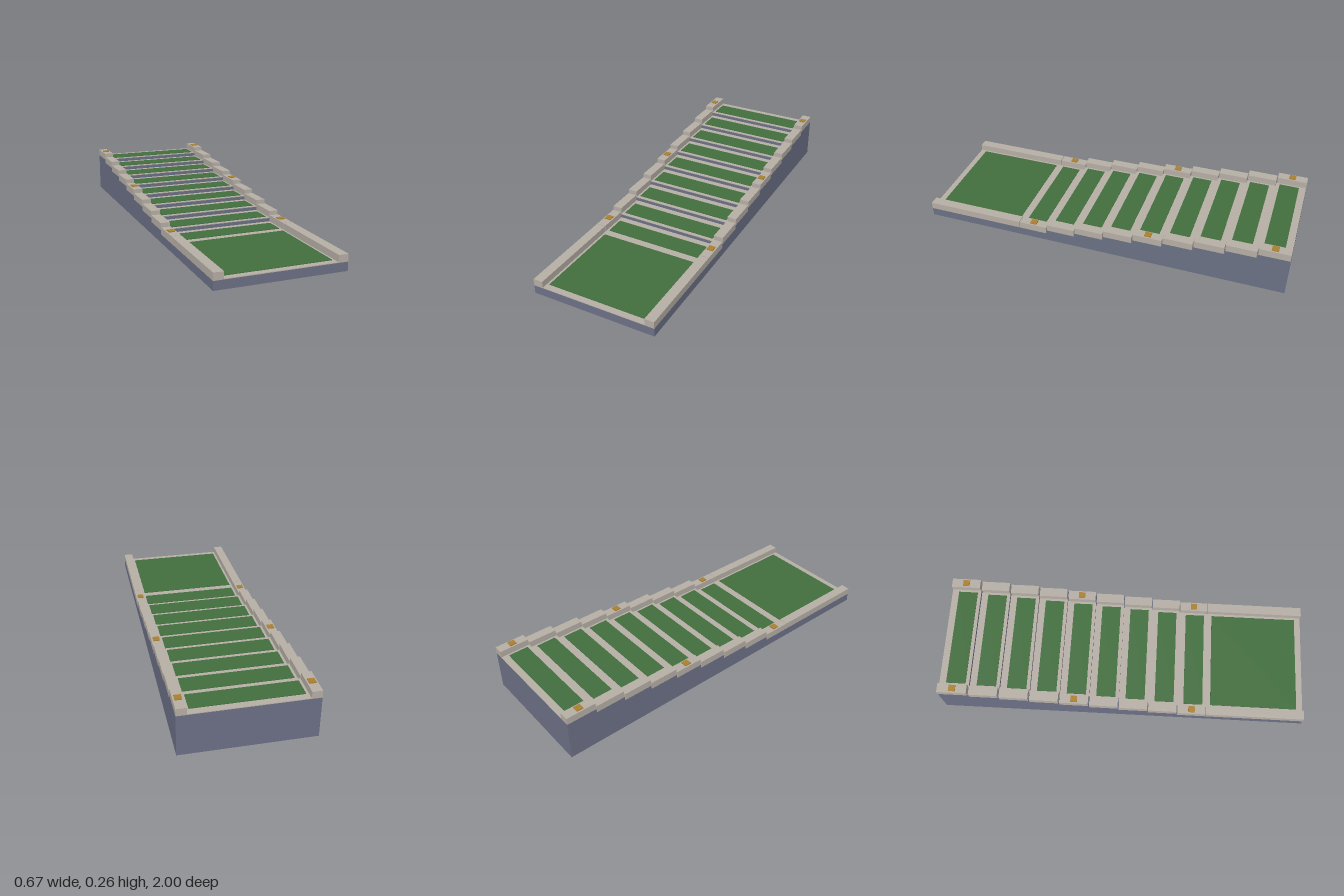
import * as THREE from 'three';

const STEPS = 9, RISE = 0.0214, PITCH = 1.46 / STEPS;
const WIDTH = 0.67, INNER = 0.568, BASE = 0.0455, LANDING_Z = 0.46;

export function createModel() {
  const mat = (name, color) => {
    const m = new THREE.MeshStandardMaterial({ color });
    m.name = name;
    return m;
  };
  const slate = mat('slate stone', 0x6b7085);
  const pale = mat('pale stone', 0xb5aea5);
  const green = mat('green carpet', 0x426e3e);
  const gold = mat('gold', 0xaa8030);

  const model = new THREE.Group();
  model.name = 'stairway';

  // box given by its x centre, bottom y and z range
  const box = (name, material, w, h, x, y, z0, z1, parent) => {
    const mesh = new THREE.Mesh(new THREE.BoxGeometry(w, h, z1 - z0), material);
    mesh.name = name;
    mesh.position.set(x, y + h / 2, (z0 + z1) / 2);
    parent.add(mesh);
  };

  // stepped base: side profile in (z, y) extruded across the width
  const profile = new THREE.Shape();
  profile.moveTo(-1, 0);
  profile.lineTo(1, 0);
  profile.lineTo(1, BASE);
  for (let i = 1; i < STEPS; i++) {
    const z = LANDING_Z - i * PITCH;
    profile.lineTo(z, BASE + (i - 1) * RISE);
    profile.lineTo(z, BASE + i * RISE);
  }
  profile.lineTo(-1, BASE + (STEPS - 1) * RISE);
  profile.closePath();
  const baseGeo = new THREE.ExtrudeGeometry(profile, { depth: WIDTH, bevelEnabled: false });
  baseGeo.rotateY(-Math.PI / 2).translate(WIDTH / 2, 0, 0);
  const base = new THREE.Mesh(baseGeo, slate);
  base.name = 'steppedBase';
  model.add(base);

  // one level: stone tread, carpet panel and a curb on each side
  const level = (name, y, z0, z1, carpet, curb, stud) => {
    const g = new THREE.Group();
    g.name = name;
    model.add(g);
    box('tread', pale, INNER, 0.0035, 0, y, z0, z1, g);
    box('carpet', green, 0.54, 0.003, 0, y + 0.0035, carpet[0], carpet[1], g);
    for (const [side, s] of [['left', 1], ['right', -1]]) {
      const x = s * 0.3095;
      box(side + 'Curb', pale, 0.051, 0.038, x, y, curb[0], curb[1], g);
      if (stud) {
        const c = (z0 + z1) / 2;
        box(side + 'Stud', gold, 0.034, 0.005, x, y + 0.038, c - 0.018, c + 0.018, g);
      }
    }
  };

  level('landing', BASE, LANDING_Z, 1, [0.485, 0.966], [LANDING_Z, 1], false);
  for (let i = 0; i < STEPS; i++) {
    const z1 = LANDING_Z - i * PITCH, z0 = z1 - PITCH, c = (z0 + z1) / 2;
    level('step' + (i + 1), BASE + i * RISE, z0, z1,
      [c - 0.044, c + 0.062],
      [i === STEPS - 1 ? -1 : c - 0.078, c + 0.078], i % 4 === 0);
  }
  return model;
}
